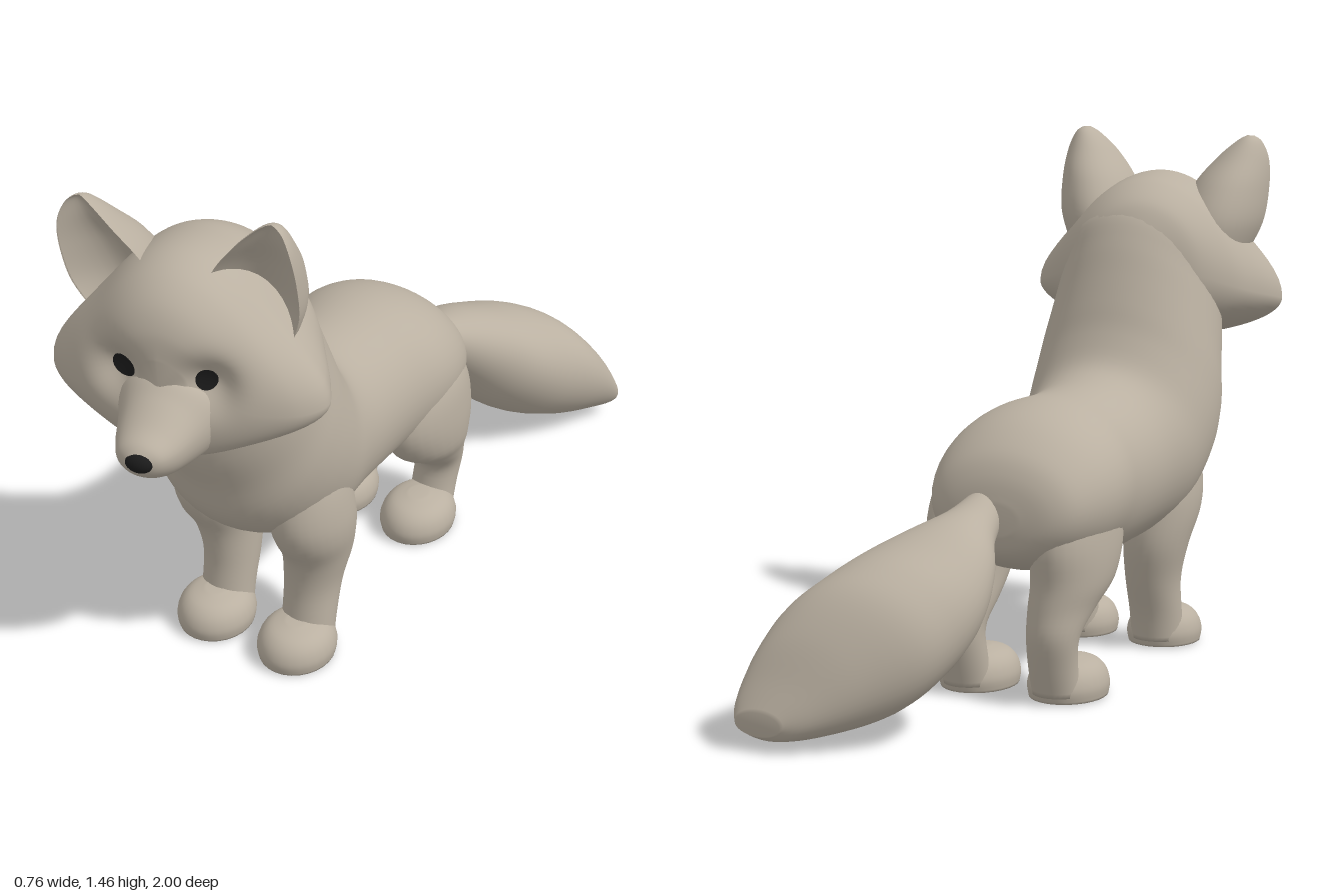
import * as THREE from 'three';

const fur = new THREE.MeshStandardMaterial({ color: 0xbab0a1 });
fur.name = 'fur';
const black = new THREE.MeshStandardMaterial({ color: 0x1c1c1c });
black.name = 'black';

const BODY_MID = -0.035; // the body stands slightly to its right
const LEG_MID = -0.015;

// Smoothly resample a table of cross-sections, column by column
function resample(rows, n) {
  const curves = rows[0].map((_, k) =>
    new THREE.SplineCurve(rows.map((r, i) => new THREE.Vector2(i, r[k]))));
  return Array.from({ length: n + 1 }, (_, i) => curves.map((c) => c.getPoint(i / n).y));
}

// Closed skin through cross-sections; ring(section, cos, sin) gives each point
function loft(rows, ring, n = 40, seg = 40) {
  const sections = resample(rows, n), pos = [], idx = [];
  for (const s of sections) {
    for (let j = 0; j < seg; j++) {
      const a = (j / seg) * Math.PI * 2;
      pos.push(...ring(s, Math.cos(a), Math.sin(a)));
    }
  }
  for (let i = 0; i < n; i++) {
    for (let j = 0; j < seg; j++) {
      const k = (j + 1) % seg, a = i * seg + j, b = i * seg + k;
      idx.push(a, b, b + seg, a, b + seg, a + seg);
    }
  }
  // End caps
  for (const end of [0, n]) {
    const c = [0, 0, 0], base = end * seg, tip = pos.length / 3;
    for (let j = 0; j < seg; j++) for (let m = 0; m < 3; m++) c[m] += pos[(base + j) * 3 + m] / seg;
    pos.push(...c);
    for (let j = 0; j < seg; j++) {
      const p = base + j, q = base + (j + 1) % seg;
      if (end) idx.push(p, q, tip); else idx.push(q, p, tip);
    }
  }
  // Turn the faces outward if the enclosed volume comes out negative
  const v = (i) => new THREE.Vector3().fromArray(pos, i * 3);
  let volume = 0;
  for (let i = 0; i < idx.length; i += 3) volume += v(idx[i]).dot(v(idx[i + 1]).cross(v(idx[i + 2])));
  if (volume < 0) idx.reverse();
  const g = new THREE.BufferGeometry();
  g.setAttribute('position', new THREE.Float32BufferAttribute(pos, 3));
  g.setIndex(idx);
  g.computeVertexNormals();
  return g;
}

function part(name, geometry, material = fur) {
  const m = new THREE.Mesh(geometry, material);
  m.name = name;
  return m;
}

// Section: top z, top y, bottom z, bottom y, left edge, right edge
const slanted = ([tz, ty, bz, by, x0, x1], c, s) => [
  (x0 + x1) / 2 + (x1 - x0) / 2 * c,
  (ty + by) / 2 + (ty - by) / 2 * s,
  (tz + bz) / 2 + (tz - bz) / 2 * s];
// Section: x, y, z, x radius, z radius
const level = ([x, y, z, rx, rz], c, s) => [x + rx * c, y, z + rz * s];
// Section: z, top, widest height, bottom, half width, cheek ruff flaring beyond it
const faceRing = ([z, t, m, b, w, k], c, s) => [
  c * (w + k * Math.abs(c) ** (s > 0 ? 7 : 1.5)), m + (s > 0 ? t - m : m - b) * s, z];
// Ear section hollowed at the front: x, y, z, half width, depth
const earRing = ([x, y, z, w, d], c, s) => [x + w * c, y, z - d * (s > 0 ? 0.5 * s * s : -s)];

function buildBody() {
  const rows = [
    [-0.415, 0.53, -0.415, 0.45, 0.06], [-0.40, 0.60, -0.40, 0.40, 0.15],
    [-0.36, 0.665, -0.35, 0.36, 0.21], [-0.27, 0.73, -0.25, 0.33, 0.25],
    [-0.15, 0.765, -0.15, 0.32, 0.258], [0, 0.77, 0, 0.305, 0.232],
    [0.12, 0.785, 0.20, 0.31, 0.235], [0.20, 0.82, 0.38, 0.33, 0.26],
    [0.25, 0.90, 0.52, 0.41, 0.273], [0.28, 0.98, 0.61, 0.51, 0.27],
    [0.31, 1.06, 0.65, 0.63, 0.255], [0.345, 1.15, 0.69, 0.74, 0.24],
    [0.39, 1.23, 0.70, 0.86, 0.225], [0.46, 1.26, 0.70, 0.95, 0.16],
  ].map(([a, b, c, d, w]) => [a, b, c, d, BODY_MID - w, BODY_MID + w]);
  return part('body', loft(rows, slanted, 60, 48));
}

function buildTail() {
  return part('tail', loft([
    [-0.38, 0.57, -0.38, 0.44, -0.045, 0.055], [-0.47, 0.53, -0.45, 0.38, -0.06, 0.10],
    [-0.58, 0.505, -0.52, 0.29, -0.105, 0.175], [-0.68, 0.47, -0.60, 0.185, -0.12, 0.26],
    [-0.78, 0.43, -0.69, 0.105, -0.10, 0.315], [-0.86, 0.375, -0.80, 0.05, -0.05, 0.36],
    [-0.925, 0.28, -0.90, 0.028, 0.06, 0.378], [-0.97, 0.17, -0.97, 0.025, 0.17, 0.382],
    [-1, 0.10, -0.995, 0.04, 0.24, 0.365],
  ], slanted));
}

function buildLegs(group) {
  const front = [
    [0.12, 0.68, 0.41, 0.075, 0.07], [0.138, 0.57, 0.405, 0.098, 0.11], [0.148, 0.47, 0.395, 0.104, 0.135],
    [0.148, 0.39, 0.38, 0.102, 0.13], [0.14, 0.30, 0.355, 0.09, 0.105], [0.13, 0.20, 0.36, 0.078, 0.083],
    [0.13, 0.10, 0.38, 0.075, 0.07], [0.13, 0.02, 0.395, 0.075, 0.07]];
  const hind = [
    [0.11, 0.64, -0.21, 0.07, 0.07], [0.14, 0.53, -0.2, 0.1, 0.15], [0.15, 0.42, -0.2, 0.106, 0.18],
    [0.15, 0.32, -0.22, 0.10, 0.15], [0.14, 0.25, -0.265, 0.085, 0.108],
    [0.135, 0.18, -0.31, 0.07, 0.067], [0.13, 0.10, -0.3, 0.066, 0.058], [0.13, 0.02, -0.275, 0.066, 0.06]];
  const paw = (z, rz) => [[0.003, 0.96, 0.95], [0.035, 1, 1], [0.07, 0.9, 0.9], [0.095, 0.66, 0.66], [0.108, 0.25, 0.25]]
    .map(([y, a, b]) => [0.13, y, z, 0.105 * a, rz * b]);
  for (const [side, label] of [[1, 'left'], [-1, 'right']]) {
    const place = (rows) => rows.map(([x, ...r]) => [LEG_MID + side * x, ...r]);
    // Small dark mark under the heel
    const heel = new THREE.CircleGeometry(1, 16).rotateX(Math.PI / 2).scale(0.026, 1, 0.014);
    heel.translate(LEG_MID + side * 0.13 + 0.012, 0, -0.302);
    group.add(
      part(label + 'FrontLeg', loft(place(front), level, 30, 28)),
      part(label + 'FrontPaw', loft(place(paw(0.445, 0.117)), level, 16, 28)),
      part(label + 'HindLeg', loft(place(hind), level, 30, 28)),
      part(label + 'HindPaw', loft(place(paw(-0.205, 0.125)), level, 16, 28)),
      part(label + 'HeelMark', heel, black));
  }
}

// Head is modelled facing forward, with z measured from the neck pivot
function buildHead() {
  const head = new THREE.Group();
  head.name = 'head';
  const skull = loft([
    [-0.24, 1.17, 1.08, 0.99, 0.07, 0], [-0.20, 1.25, 1.06, 0.92, 0.17, 0],
    [-0.12, 1.305, 1.03, 0.88, 0.235, 0.02], [-0.04, 1.325, 1.01, 0.865, 0.255, 0.05],
    [0.04, 1.335, 0.995, 0.855, 0.257, 0.09], [0.10, 1.33, 0.985, 0.85, 0.252, 0.11],
    [0.16, 1.305, 0.985, 0.845, 0.235, 0.08], [0.21, 1.26, 1.0, 0.845, 0.19, 0.035],
    [0.24, 1.20, 1.03, 0.88, 0.13, 0.01], [0.25, 1.13, 1.05, 0.96, 0.06, 0],
  ], faceRing, 64, 80);
  // Press in the eye sockets
  const p = skull.attributes.position;
  for (let i = 0; i < p.count; i++) {
    if (p.getZ(i) < 0.08) continue;
    const r2 = (Math.abs(p.getX(i)) - 0.12) ** 2 + (p.getY(i) - 1.07) ** 2;
    p.setZ(i, p.getZ(i) - 0.053 * Math.exp(-r2 / 0.0045));
  }
  skull.computeVertexNormals();
  const skullMesh = part('skull', skull);
  const muzzle = part('muzzle', loft([
    [0.10, 1.03, 0.97, 0.86, 0.20, 0], [0.17, 1.05, 0.97, 0.845, 0.165, 0],
    [0.22, 1.075, 0.96, 0.84, 0.13, 0], [0.27, 1.045, 0.95, 0.842, 0.105, 0],
    [0.33, 1.005, 0.94, 0.86, 0.083, 0], [0.375, 0.982, 0.94, 0.89, 0.058, 0],
    [0.395, 0.96, 0.94, 0.92, 0.025, 0],
  ].map(([z, ...r]) => [z, ...r]), faceRing, 36, 36));
  const nose = part('nose', new THREE.SphereGeometry(1, 20, 14), black);
  nose.scale.set(0.037, 0.028, 0.023);
  nose.position.set(0.005, 0.939, 0.383);
  head.add(skullMesh, muzzle, nose);

  const ray = new THREE.Raycaster(), back = new THREE.Vector3(0, 0, -1);
  // Side, label, ear inset, eye half width
  for (const [side, label, inset, eyeWidth] of [[1, 'left', 0.005, 0.025], [-1, 'right', 0.008, 0.036]]) {
    head.add(part(label + 'Ear', loft([
      [0.17, 1.10, 0.06, 0.09, 0.16], [0.18, 1.20, 0.085, 0.122, 0.19],
      [0.203, 1.30, 0.105, 0.108, 0.165], [0.23, 1.38, 0.115, 0.074, 0.11],
      [0.247, 1.43, 0.105, 0.036, 0.055], [0.25, 1.447, 0.095, 0.01, 0.015],
    ].map(([x, ...r]) => [side * (x - inset), ...r]), earRing, 30, 32)));
    // Eye patch laid onto the face
    const eye = new THREE.CircleGeometry(1, 24).scale(eyeWidth, 0.03, 1);
    eye.rotateZ(side * -0.25).translate(side * 0.107, 1.075, 0);
    const e = eye.attributes.position;
    for (let i = 0; i < e.count; i++) {
      ray.set(new THREE.Vector3(e.getX(i), e.getY(i), 1), back);
      const hit = ray.intersectObjects([skullMesh, muzzle])[0];
      e.setZ(i, (hit ? hit.point.z : 0.2) + 0.005);
    }
    eye.computeVertexNormals();
    head.add(part(label + 'Eye', eye, black));
  }
  // Tilt about the middle of the face and look slightly to the left
  head.children.forEach((m) => { m.position.y -= 1.05; });
  head.position.set(-0.04, 1.05, 0.6);
  head.rotation.set(0, 0.17, 0.05);
  return head;
}

export function createModel() {
  const model = new THREE.Group();
  model.name = 'fox';
  model.add(buildBody(), buildTail(), buildHead());
  buildLegs(model);
  return model;
}
